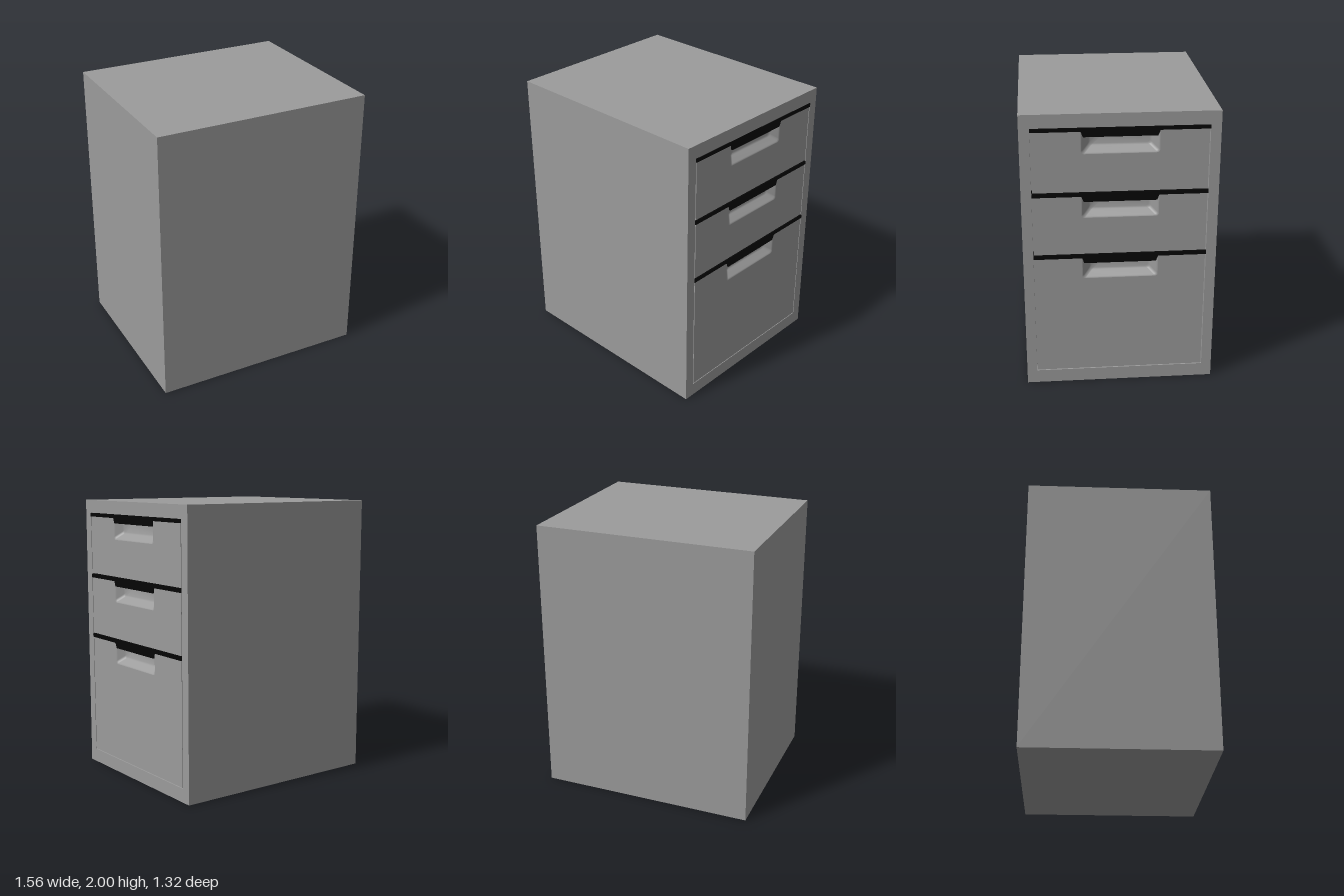
import * as THREE from 'three';

const FRONT = 0.775, DEPTH = 0.08; // drawer face plane and recess depth
const grey = new THREE.MeshStandardMaterial({ color: 0x9b9b9b });
const black = new THREE.MeshStandardMaterial({ color: 0x050505 });

const poly = (pts) => new THREE.Shape(pts.map(([u, y]) => new THREE.Vector2(u, y)));

// Extrude a (width, height) outline so that its outer face lies at x = face
function plate(name, shape, face, depth, material) {
  const geo = new THREE.ExtrudeGeometry(shape, { depth, bevelEnabled: false });
  geo.rotateY(Math.PI / 2).translate(face - depth, 0, 0);
  const mesh = new THREE.Mesh(geo, material);
  mesh.name = name;
  return mesh;
}

// U-shaped recess outline with rounded lower corners, shrunk by an inset
function recessPath(top, low, inset) {
  const hw = 0.26 - inset, bottom = low + inset * 0.85, r = 0.02, steps = 6;
  const right = [[hw, top]];
  for (let i = 0; i <= steps; i++) {
    const a = (i / steps) * Math.PI / 2;
    right.push([hw - r + r * Math.cos(a), bottom + r - r * Math.sin(a)]);
  }
  return [...right, ...right.map(([z, y]) => [-z, y]).reverse()];
}

// Smooth finger recess: nested outlines [inset, depth], then a flat back
function fingerRecess(top, low) {
  const profile = [[0, 0], [0.005, 0.001], [0.012, 0.006], [0.05, 0.044],
    [0.057, 0.049], [0.066, 0.052], [0.11, 0.06]];
  const rings = profile.map(([inset, d]) => recessPath(top, low, inset).map(([z, y]) => [FRONT - d, y, z]));
  rings.push(rings[rings.length - 1].map(([x, , z]) => [x, top, z]));
  const n = rings[0].length, index = [];
  for (let k = 0; k < rings.length - 1; k++) {
    for (let i = 0; i < n - 1; i++) {
      const a = k * n + i, c = a + n;
      index.push(a, a + 1, c, a + 1, c + 1, c);
    }
  }
  const geo = new THREE.BufferGeometry();
  geo.setAttribute('position', new THREE.Float32BufferAttribute(rings.flat(2), 3));
  geo.setIndex(index);
  geo.computeVertexNormals();
  const mesh = new THREE.Mesh(geo, grey);
  mesh.name = 'fingerRecess';
  return mesh;
}

function drawer(name, top, bottom) {
  const g = new THREE.Group();
  g.name = name;
  const w = 0.584, edge = top - 0.025, low = top - 0.18;
  // Front panel, notched for the finger recess
  g.add(plate('drawerFront', poly([
    [-w, edge], [-w, bottom], [w, bottom], [w, edge], ...recessPath(edge, low, 0),
  ]), FRONT, DEPTH, grey));
  g.add(fingerRecess(edge, low));
  // Dark top rail and the hanging grip lip
  g.add(plate('topRail', poly([[-0.589, edge], [0.589, edge], [0.589, top], [-0.589, top]]), 0.78, DEPTH, black));
  g.add(plate('gripLip', poly([
    [-0.26, edge], [-0.245, top - 0.062], [0.245, top - 0.062], [0.26, edge],
  ]), 0.78, 0.012, black));
  return g;
}

export function createModel() {
  const model = new THREE.Group();
  model.name = 'drawerCabinet';

  // Solid body behind the drawer recess
  const len = FRONT - DEPTH + 0.78;
  const body = new THREE.Mesh(new THREE.BoxGeometry(len, 2, 1.32), grey);
  body.position.set(-0.78 + len / 2, 1, 0);
  body.name = 'cabinetBody';
  model.add(body);

  // Frame around the drawers
  const frame = poly([[-0.66, 0], [0.66, 0], [0.66, 2], [-0.66, 2]]);
  frame.holes.push(poly([[-0.59, 0.097], [-0.59, 1.907], [0.59, 1.907], [0.59, 0.097]]));
  model.add(plate('cabinetFrame', frame, FRONT, DEPTH, grey));

  model.add(drawer('upperDrawer', 1.905, 1.46));
  model.add(drawer('middleDrawer', 1.453, 1.008));
  model.add(drawer('lowerDrawer', 1.001, 0.103));
  return model;
}
